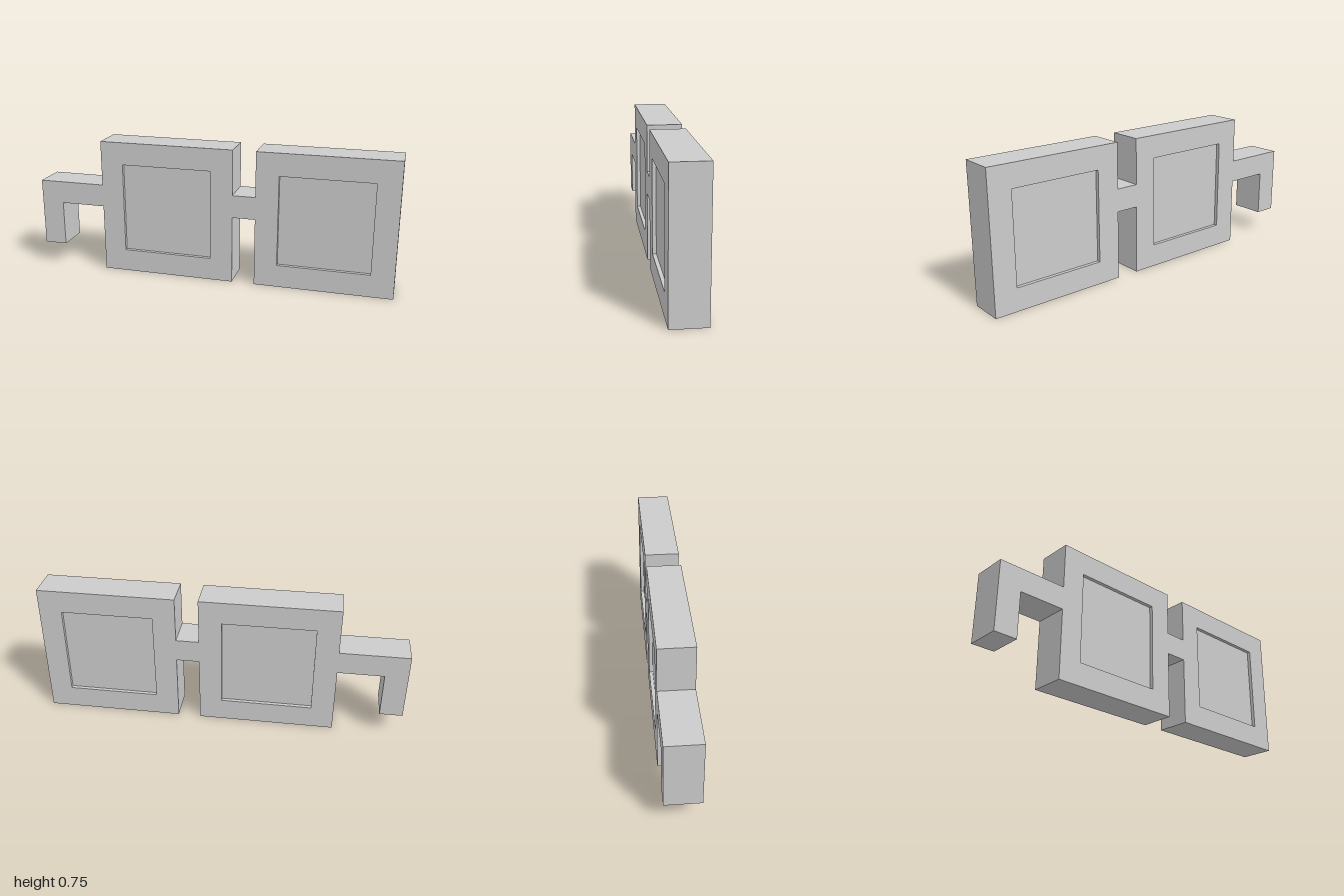
import * as THREE from 'three';

const DEPTH = 0.1875;
const RECESS = 0.02;
const material = new THREE.MeshStandardMaterial({ color: 0xcccccc, flatShading: true });

// Closed outline from corner points
const outline = (points, Type = THREE.Shape) =>
  new Type(points.map(([x, y]) => new THREE.Vector2(x, y)));

const square = (x, y, size) => [[x, y], [x + size, y], [x + size, y + size], [x, y + size]];

// Slab of the given thickness, centred on z = 0
function slab(name, shape, depth = DEPTH) {
  const geometry = new THREE.ExtrudeGeometry(shape, { depth, bevelEnabled: false });
  geometry.translate(0, 0, -depth / 2);
  const mesh = new THREE.Mesh(geometry, material);
  mesh.name = name;
  return mesh;
}

// Square rim with a lens set back on both faces
function framedLens(name, x) {
  const group = new THREE.Group();
  group.name = name;
  const rim = outline(square(x, 0, 0.75));
  const opening = square(x + 0.125, 0.125, 0.5);
  rim.holes.push(outline(opening.slice().reverse(), THREE.Path));
  group.add(slab('rim', rim), slab('lens', outline(opening), DEPTH - 2 * RECESS));
  return group;
}

export function createModel() {
  const model = new THREE.Group();
  model.name = 'glasses';

  model.add(framedLens('rightFrame', -0.625), framedLens('leftFrame', 0.25));

  // Bridge between the frames
  model.add(slab('bridge', outline([[0.125, 0.375], [0.25, 0.375], [0.25, 0.5], [0.125, 0.5]])));

  // Arm reaching sideways, with its hooked end
  model.add(slab('arm', outline([
    [-1, 0.125], [-0.875, 0.125], [-0.875, 0.375],
    [-0.625, 0.375], [-0.625, 0.5], [-1, 0.5],
  ])));

  return model;
}
